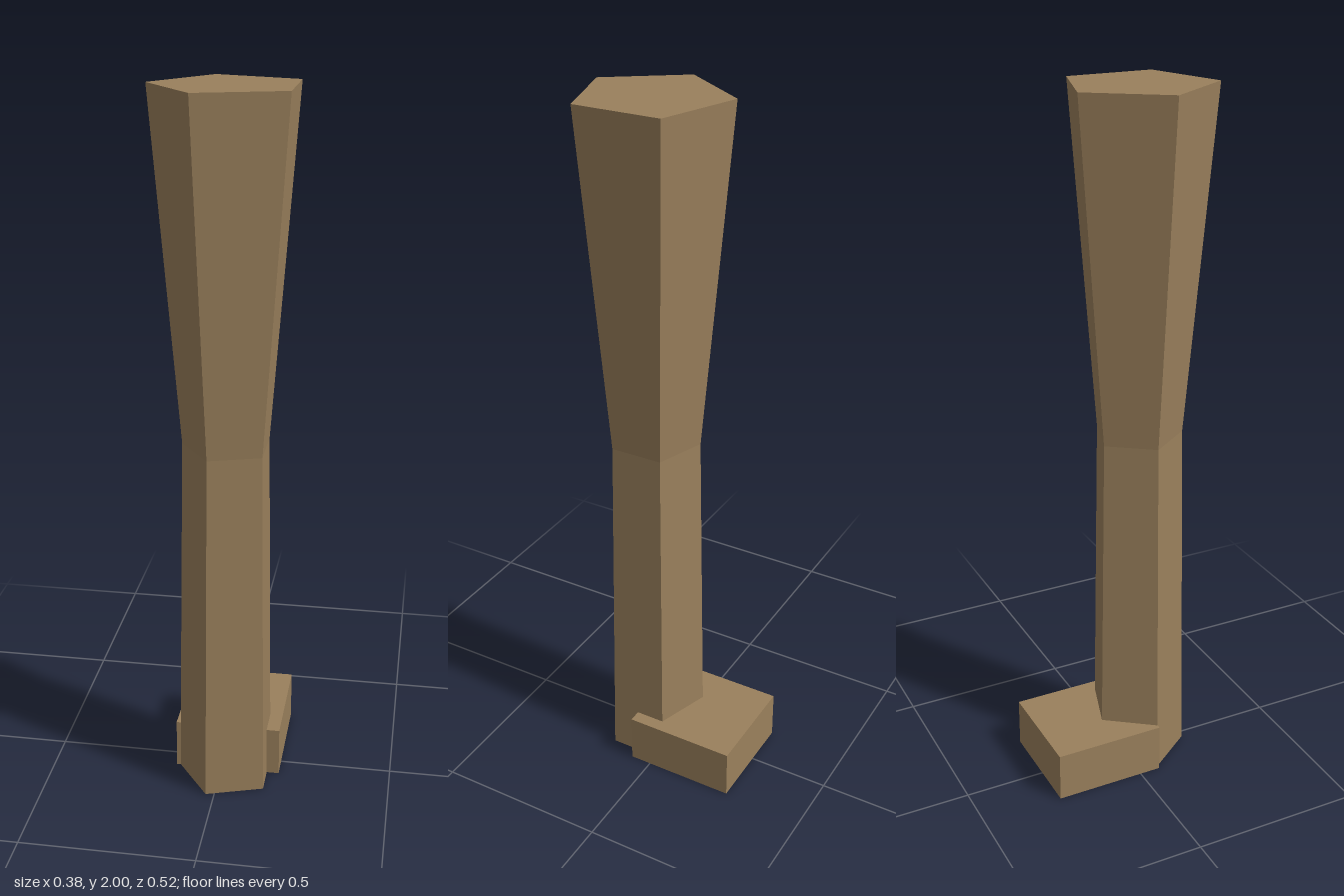
import * as THREE from 'three';

export function createModel() {
  const model = new THREE.Group();
  const wood = new THREE.MeshStandardMaterial({
    color: 0x9a805c,
    flatShading: true,
    side: THREE.DoubleSide,
  });

  // Five-sided post: narrow waist, flared capped top, open underside
  const profile = [
    [0.145, 0],
    [0.128, 1.04],
    [0.2105, 2],
    [0, 2],
  ].map(([r, y]) => new THREE.Vector2(r, y));
  const post = new THREE.Mesh(new THREE.LatheGeometry(profile, 5, -Math.PI / 2), wood);
  post.name = 'post';
  post.position.set(0.02, 0, 0.061);
  model.add(post);

  // Foot block behind the post, a box without its underside
  const footGeometry = new THREE.BoxGeometry(0.308, 0.147, 0.325);
  const faces = Array.from(footGeometry.index.array);
  faces.splice(18, 6); // drop the bottom face
  footGeometry.setIndex(faces);
  footGeometry.clearGroups();
  const foot = new THREE.Mesh(footGeometry, wood);
  foot.name = 'footBlock';
  foot.position.set(0.019, 0.0735, -0.1);
  model.add(foot);

  return model;
}
